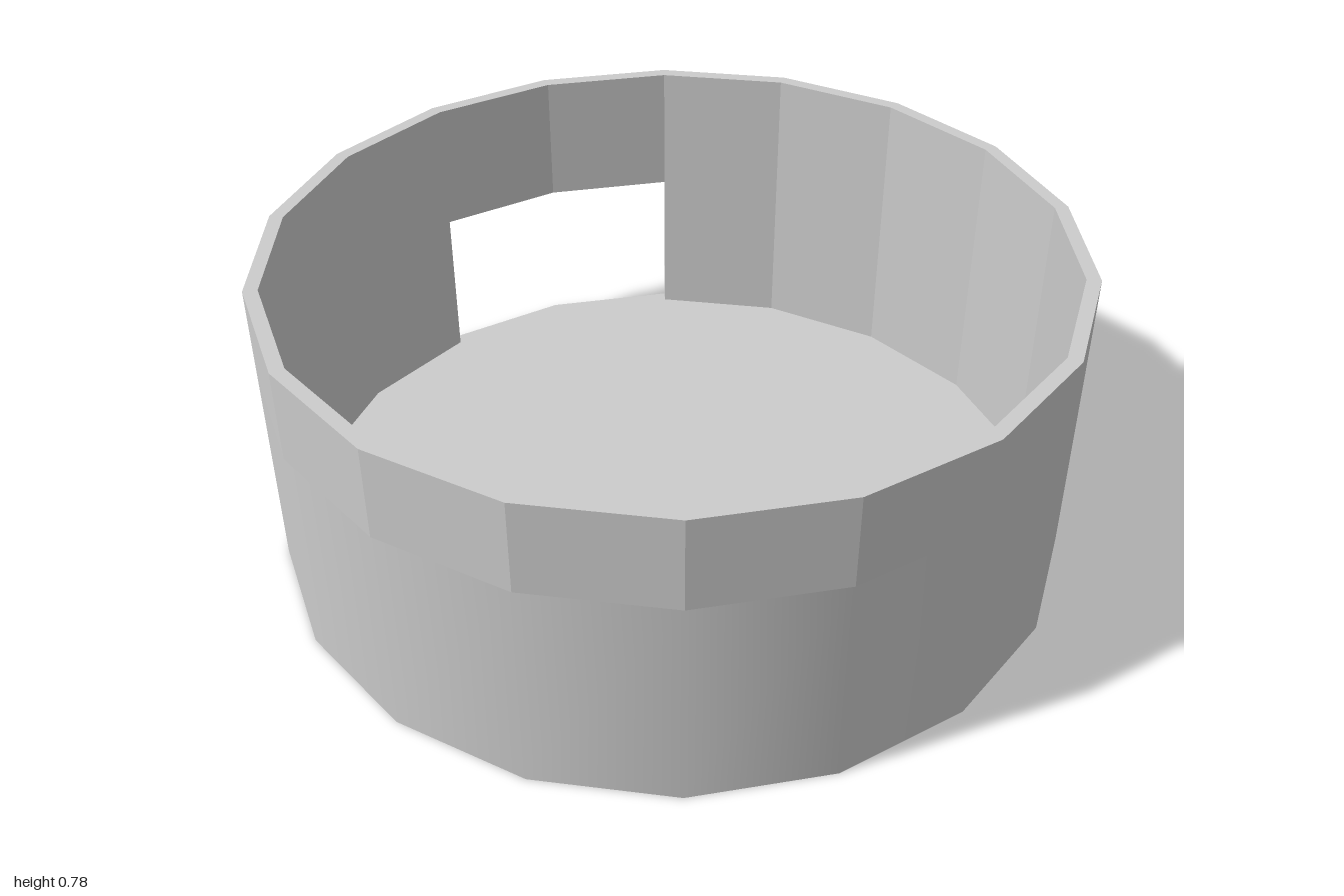
import * as THREE from 'three';

const SIDES = 18, STEP = (Math.PI * 2) / SIDES;
const OUTER = 1, INNER = 0.965;
const FLOOR = 0.02, LINTEL = 0.435, BAND = 0.55, TOP = 0.78;
// The doorway takes two sides of the back wall (cylinder angles, 0 = +z)
const DOOR_START = STEP * 8.5, DOOR_SIDES = 2;

export function createModel() {
  const group = new THREE.Group();
  const material = (options) => new THREE.MeshStandardMaterial({ color: 0xcccccc, ...options });
  const smooth = material({});
  const flat = material({ flatShading: true });
  const inside = material({ flatShading: true, side: THREE.BackSide });
  const thin = material({ flatShading: true, side: THREE.DoubleSide });

  const add = (name, geometry, mat) => {
    const mesh = new THREE.Mesh(geometry, mat);
    mesh.name = name;
    group.add(mesh);
    return mesh;
  };

  // Open run of wall between two heights, counted in sides from the doorway
  const wall = (name, radius, y0, y1, first, count, mat) => {
    const geometry = new THREE.CylinderGeometry(radius, radius, y1 - y0, count, 1, true,
      DOOR_START + first * STEP, count * STEP);
    add(name, geometry.translate(0, (y0 + y1) / 2, 0), mat);
  };

  // Floor slab, whose top also forms the door sill
  add('floor', new THREE.CylinderGeometry(OUTER, OUTER, FLOOR, SIDES, 1, false, DOOR_START)
    .translate(0, FLOOR / 2, 0), smooth);

  // Outer wall: smooth below, faceted band above
  const rest = SIDES - DOOR_SIDES;
  wall('outerWall', OUTER, FLOOR, BAND, DOOR_SIDES, rest, smooth);
  wall('outerLintel', OUTER, LINTEL, BAND, 0, DOOR_SIDES, smooth);
  wall('upperBand', OUTER, BAND, TOP, 0, SIDES, flat);

  // Faceted inner wall
  wall('innerWall', INNER, FLOOR, TOP, DOOR_SIDES, rest, inside);
  wall('innerLintel', INNER, LINTEL, TOP, 0, DOOR_SIDES, inside);

  // Top rim
  add('rim', new THREE.RingGeometry(INNER, OUTER, SIDES, 1)
    .rotateX(-Math.PI / 2).translate(0, TOP, 0), flat);

  // Doorway: underside of the lintel and the two jambs
  const doorAngle = Math.PI / 2 - DOOR_START - DOOR_SIDES * STEP;
  add('lintelUnderside', new THREE.RingGeometry(INNER, OUTER, DOOR_SIDES, 1, doorAngle, DOOR_SIDES * STEP)
    .rotateX(Math.PI / 2).translate(0, LINTEL, 0), flat);
  for (const i of [0, DOOR_SIDES]) {
    add('doorJamb', new THREE.PlaneGeometry(OUTER - INNER, LINTEL - FLOOR)
      .translate((OUTER + INNER) / 2, (FLOOR + LINTEL) / 2, 0)
      .rotateY(-(doorAngle + i * STEP)), thin);
  }
  return group;
}
